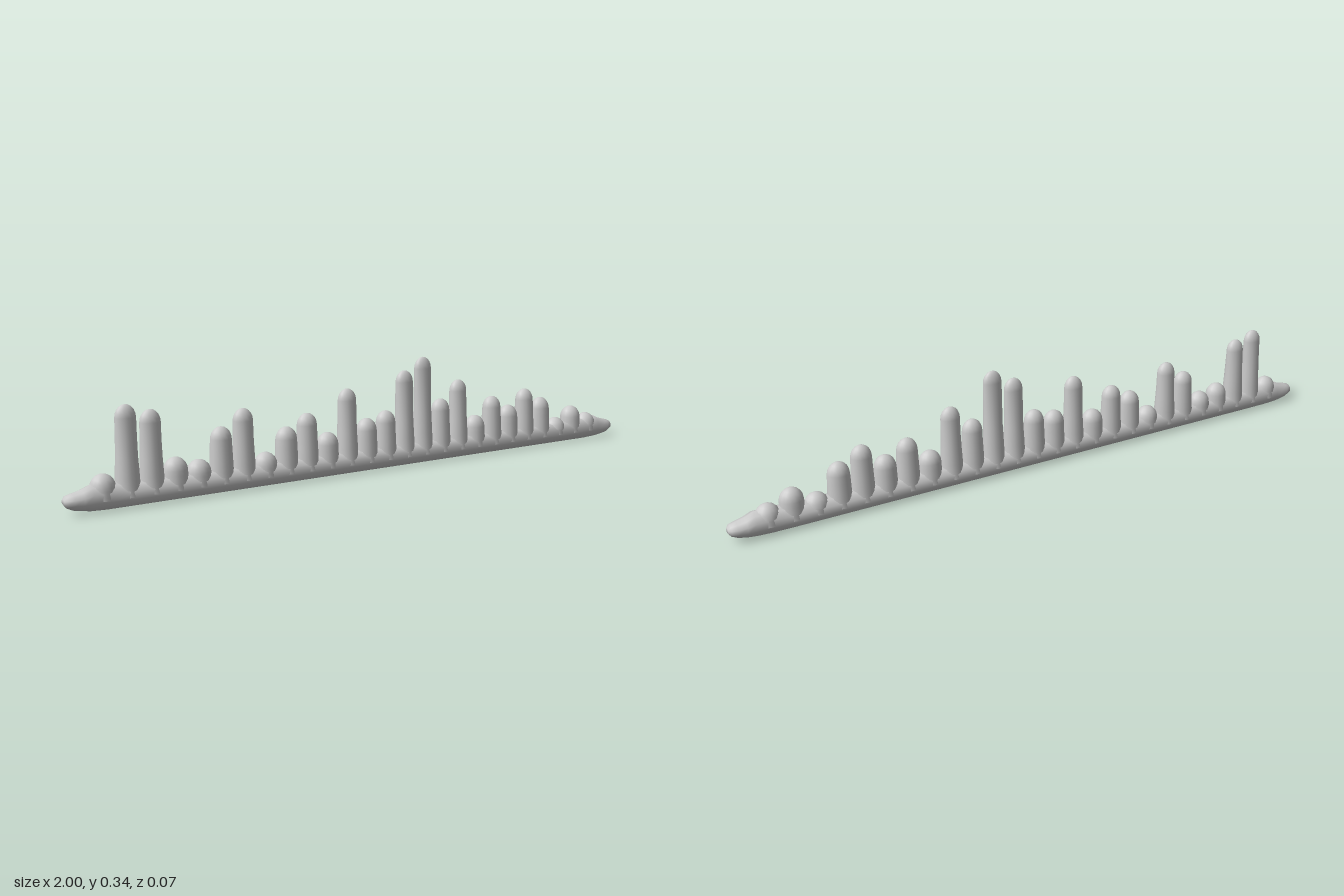
import * as THREE from 'three';
import { mergeVertices } from 'three/addons/utils/BufferGeometryUtils.js';

const SIDES = 10;
const material = new THREE.MeshStandardMaterial({ color: 0xcccccc });

// Closed smooth surface through rings of points; the ends close on their centres.
function loft(rings) {
  const pos = [], index = [], n = rings[0].length;
  rings.forEach((ring) => ring.forEach((p) => pos.push(...p)));
  for (let i = 0; i < rings.length - 1; i++) {
    for (let j = 0; j < n; j++) {
      const a = i * n + j, b = i * n + (j + 1) % n;
      index.push(a, b, a + n, b, b + n, a + n);
    }
  }
  [0, rings.length - 1].forEach((r) => {
    const c = pos.length / 3;
    pos.push(...[0, 1, 2].map((k) => rings[r].reduce((s, p) => s + p[k], 0) / n));
    for (let j = 0; j < n; j++) {
      const a = r * n + j, b = r * n + (j + 1) % n;
      if (r === 0) index.push(c, b, a);
      else index.push(c, a, b);
    }
  });
  const g = new THREE.BufferGeometry();
  g.setAttribute('position', new THREE.Float32BufferAttribute(pos, 3));
  g.setIndex(index);
  g.computeVertexNormals();
  return g;
}

// Rod with tapered ends: [distance from end, bottom, top, half depth]
function makeRod() {
  const end = [
    [0, 0.03, 0.045, 0.012],
    [0.007, 0.02, 0.053, 0.022],
    [0.025, 0.011, 0.058, 0.027],
    [0.05, 0.006, 0.064, 0.031],
    [0.075, 0.002, 0.075, 0.033],
    [0.12, 0, 0.076, 0.034],
    [0.2, 0, 0.07, 0.034],
  ];
  const stations = [
    ...end.map(([d, ...s]) => [-1 + d, ...s]),
    ...end.map(([d, ...s]) => [1 - d, ...s]).reverse(),
  ];
  return loft(stations.map(([x, bottom, top, depth]) =>
    Array.from({ length: SIDES }, (_, j) => {
      const a = (j / SIDES) * Math.PI * 2;
      return [x, (top + bottom) / 2 - Math.cos(a) * (top - bottom) / 2, -Math.sin(a) * depth];
    })));
}

// Upright finger: an oval column, thinner towards a domed tip
function makeFinger(height) {
  const base = 0.03;
  const cap = Math.min(0.036, (height - base) * 0.75);
  const shoulder = height - cap;
  const profile = [new THREE.Vector2(1, base)];
  for (let i = 1; i <= 4; i++) profile.push(new THREE.Vector2(1, base + (shoulder - base) * i / 4));
  for (let i = 1; i <= 5; i++) {
    const a = (i / 5) * Math.PI / 2;
    profile.push(new THREE.Vector2(i === 5 ? 0 : Math.cos(a), shoulder + cap * Math.sin(a)));
  }
  let g = new THREE.LatheGeometry(profile, 16);
  g.deleteAttribute('uv');
  g.deleteAttribute('normal');
  g = mergeVertices(g, 1e-5);
  const p = g.attributes.position;
  const slim = THREE.MathUtils.clamp((height - 0.1) / 0.15, 0, 1);
  for (let i = 0; i < p.count; i++) {
    const y = p.getY(i);
    const t = Math.min(1, Math.max(0, (y - 0.05) / 0.1));
    const halfWidth = THREE.MathUtils.lerp(0.036, 0.034 - 0.004 * slim, t);
    const halfDepth = 0.034 - 0.062 * Math.max(0, y - 0.04);
    p.setX(i, p.getX(i) * halfWidth);
    p.setZ(i, p.getZ(i) * halfDepth);
  }
  g.computeVertexNormals();
  return g;
}

export function createModel() {
  const model = new THREE.Group();
  model.name = 'fingeredRod';

  const rod = new THREE.Mesh(makeRod(), material);
  rod.name = 'rod';
  model.add(rod);

  // Finger heights, evenly spaced along the rod
  const heights = [
    0.1, 0.28, 0.26, 0.12, 0.105, 0.19, 0.235, 0.1, 0.167, 0.2, 0.135, 0.26, 0.163,
    0.18, 0.298, 0.335, 0.197, 0.252, 0.13, 0.186, 0.15, 0.198, 0.163, 0.087, 0.12, 0.09,
  ];
  const fingers = new THREE.Group();
  fingers.name = 'fingers';
  heights.forEach((height, i) => {
    const finger = new THREE.Mesh(makeFinger(height), material);
    finger.name = `finger${i + 1}`;
    finger.position.x = -0.89 + 0.071 * i;
    fingers.add(finger);
  });
  model.add(fingers);
  return model;
}
